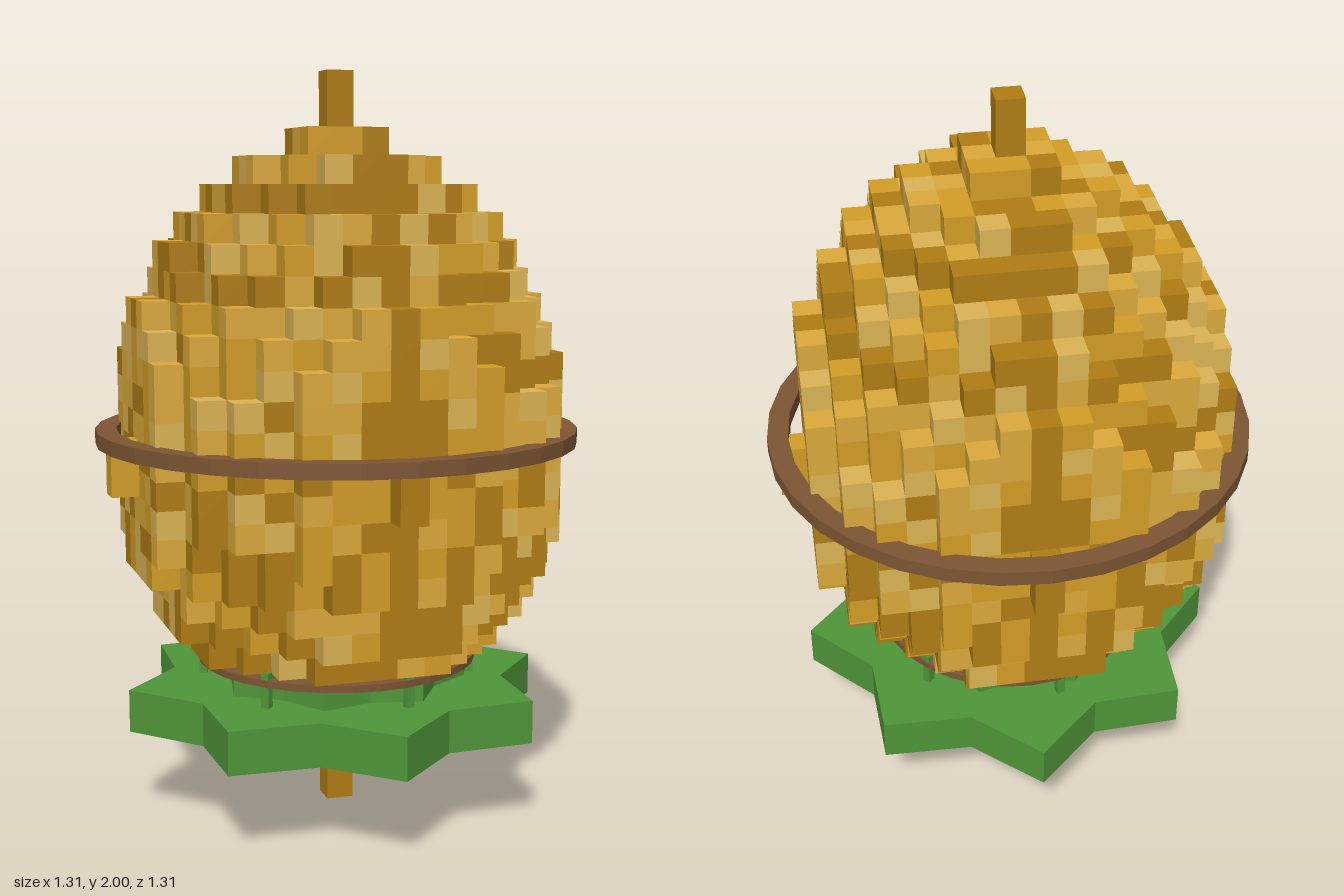
import * as THREE from 'three';
import { mergeGeometries } from 'three/addons/utils/BufferGeometryUtils.js';

const CELL = 0.0738, BASE = 0.449, LAYERS = 19;
const mat = color => new THREE.MeshStandardMaterial({ color, flatShading: true });

// Egg radius (in cells) at a layer: two half ellipsoids, taller above than below
function layerRadius(j) {
  const d = j - 6.5, h = d > 0 ? 11.75 : 8.95;
  return 8.03 * Math.sqrt(Math.max(0, 1 - (d / h) ** 2));
}
const filled = (i, j, k) => j >= 0 && j < LAYERS && Math.hypot(i, k) <= layerRadius(j);

// Repeatable noise in 0..1
function noise(a, b, c) {
  let h = Math.imul(a + 50, 374761393) ^ Math.imul(b + 50, 668265263) ^ Math.imul(c + 50, 2147483647 - 61);
  h = Math.imul(h ^ (h >>> 13), 1274126177);
  return ((h ^ (h >>> 16)) >>> 0) / 4294967296;
}

// Shade index of a block; opposite blocks match
function shade(i, j, k) {
  if (i === 0 && Math.abs(k) >= 2) return 0;
  const s = k < 0 || (k === 0 && i < 0) ? -1 : 1;
  const n = noise(i * s, j, k * s);
  const dark = j > 7 && j < 13 ? 0.15 : 0.4;
  if (n < dark) return 0;
  const t = (n - dark) / (1 - dark);
  return t < 0.33 ? 1 : t < 0.72 ? 2 : 3;
}

// Flat prism from a shape in plan, between two heights
function prism(name, shape, y0, y1, material) {
  const geo = new THREE.ExtrudeGeometry(shape, { depth: y1 - y0, bevelEnabled: false, curveSegments: 32 });
  geo.rotateX(-Math.PI / 2).translate(0, y0, 0);
  const mesh = new THREE.Mesh(geo, material);
  mesh.name = name;
  return mesh;
}

function polygon(sides, outer, inner = outer, turn = 0) {
  return Array.from({ length: sides }, (_, i) => {
    const a = turn + i * 2 * Math.PI / sides, r = i % 2 ? inner : outer;
    return new THREE.Vector2(r * Math.cos(a), r * Math.sin(a));
  });
}

function hoop(outer, inner) {
  const shape = new THREE.Shape(polygon(32, outer));
  shape.holes.push(new THREE.Path(polygon(32, inner)));
  return shape;
}
const star = (outer, inner, turn) => new THREE.Shape(polygon(16, outer, inner, turn));

export function createModel() {
  const model = new THREE.Group();
  const gold = [0xb07d14, 0xd39e26, 0xdcaa3c, 0xdcb455].map(mat);
  const green = mat(0x4f9639), brown = mat(0x7d5533);

  // Egg built of blocks, only the outer shell
  const blocks = [[], [], [], []];
  for (let j = 0; j < LAYERS; j++)
    for (let i = -8; i <= 8; i++)
      for (let k = -8; k <= 8; k++) {
        if (!filled(i, j, k)) continue;
        const buried = filled(i + 1, j, k) && filled(i - 1, j, k) && filled(i, j + 1, k) &&
          filled(i, j - 1, k) && filled(i, j, k + 1) && filled(i, j, k - 1);
        if (buried) continue;
        const box = new THREE.BoxGeometry(CELL, CELL, CELL);
        box.translate(i * CELL, BASE + (j + 0.5) * CELL, k * CELL);
        blocks[shade(i, j, k)].push(box);
      }
  const egg = new THREE.Group();
  egg.name = 'eggBlocks';
  blocks.forEach((list, s) => {
    const mesh = new THREE.Mesh(mergeGeometries(list), gold[s]);
    mesh.name = 'eggShade' + (s + 1);
    egg.add(mesh);
  });
  model.add(egg);

  // Pole through the whole model
  const pole = new THREE.Mesh(new THREE.BoxGeometry(CELL, 2, CELL), gold[0]);
  pole.name = 'pole';
  pole.position.y = 1;
  model.add(pole);

  // Hoops and leafy star base
  model.add(
    prism('waistHoop', hoop(0.653, 0.597), 1.015, 1.055, brown),
    prism('baseHoop', hoop(0.385, 0.335), 0.413, 0.432, brown),
    prism('starBase', star(0.585, 0.457, 0), 0.24, 0.356, green),
    prism('upperStar', star(0.357, 0.3, Math.PI / 8), 0.356, 0.415, green),
    prism('topStar', star(0.3, 0.25, 0), 0.415, 0.443, green)
  );

  // Six small clips around the base hoop
  for (let n = 0; n < 6; n++) {
    const clip = new THREE.Group();
    clip.name = 'clip';
    const stem = new THREE.Mesh(new THREE.BoxGeometry(0.022, 0.1, 0.022), green);
    stem.name = 'clipStem';
    stem.position.set(0, 0.4, 0.37);
    const tip = new THREE.Mesh(new THREE.BoxGeometry(0.022, 0.018, 0.06), green);
    tip.name = 'clipTip';
    tip.position.set(0, 0.441, 0.351);
    clip.add(stem, tip);
    clip.rotation.y = THREE.MathUtils.degToRad(13.3 + n * 60);
    model.add(clip);
  }
  return model;
}
